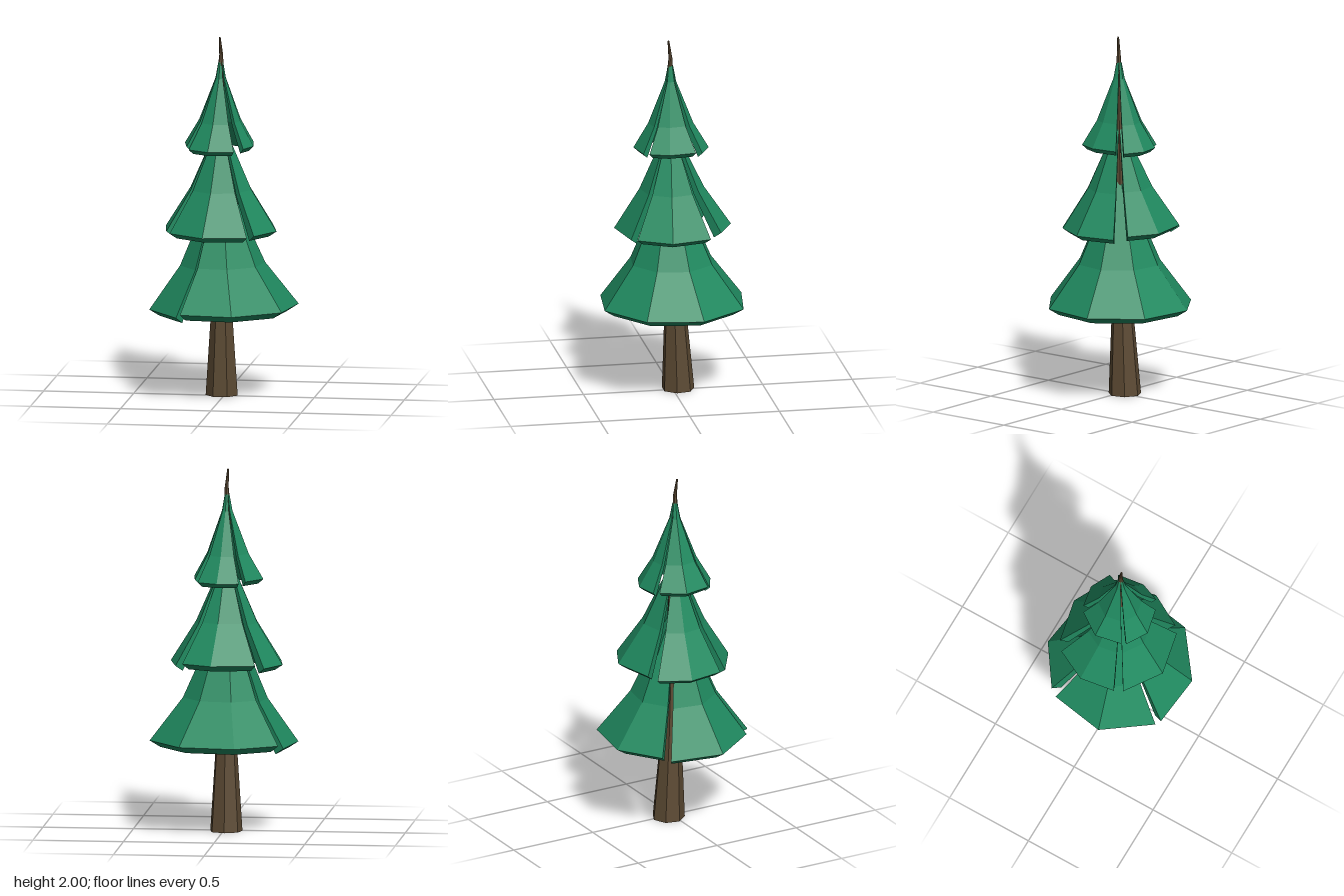
import * as THREE from 'three';

const AXIS = [-0.015, 0.012];
const green = new THREE.MeshStandardMaterial({ color: 0x208a60, flatShading: true });
const brown = new THREE.MeshStandardMaterial({ color: 0x5c4a33, flatShading: true });

// Each tier: profile of [share of rim radius, height] from tip to rim,
// then its boughs as rim corners [x, z], with a small height shift each.
const TIERS = [
  {
    name: 'lowerTier', drop: 0.037,
    profile: [[0.08, 1.2], [0.57, 0.74], [1, 0.505]],
    boughs: [
      { dy: 0, rim: [[-0.325, -0.245], [-0.1, -0.4], [0.21, -0.355], [0.4, -0.1], [0.35, 0.21], [0.1, 0.4], [-0.19, 0.37]] },
      { dy: -0.02, rim: [[-0.215, 0.35], [-0.4, 0.095], [-0.35, -0.205]] },
    ],
  },
  {
    name: 'middleTier', drop: 0.03,
    profile: [[0.08, 1.49], [0.55, 1.155], [1, 0.93]],
    boughs: [
      { dy: 0.02, rim: [[-0.2, -0.265], [0.04, -0.315], [0.205, -0.23]] },
      { dy: 0, rim: [[0.25, -0.165], [0.3, 0.055], [0.2, 0.235]] },
      { dy: -0.005, rim: [[0.165, 0.265], [-0.075, 0.315], [-0.275, 0.18]] },
      { dy: 0, rim: [[-0.3, 0.135], [-0.33, -0.06], [-0.245, -0.23]] },
    ],
  },
  {
    name: 'upperTier', drop: 0.025,
    profile: [[0.07, 1.86], [0.15, 1.77], [0.6, 1.53], [1, 1.39]],
    boughs: [
      { dy: 0, rim: [[-0.1, -0.175], [0.02, -0.195], [0.13, -0.14]] },
      { dy: 0.01, rim: [[0.15, -0.1], [0.17, 0.05], [0.13, 0.155]] },
      { dy: -0.003, rim: [[0.08, 0.18], [-0.06, 0.21], [-0.175, 0.14]] },
      { dy: 0.01, rim: [[-0.19, 0.12], [-0.22, -0.03], [-0.135, -0.155]] },
    ],
  },
];

// Thick bough: a closed profile swept along the rim corners, with end caps
function boughGeometry(rim, profile, drop, dy) {
  const last = profile.length - 1;
  const inner = profile.slice(0, last).reverse().map(([s, y]) => [s * 0.84, y - 0.02]);
  const loop = [...profile, [0.86, profile[last][1] - drop], ...inner];
  const n = loop.length;
  const pos = [], index = [];
  for (const [x, z] of rim) {
    for (const [s, y] of loop) {
      // the height shift fades out toward the tip
      pos.push(AXIS[0] + (x - AXIS[0]) * s, y + dy * s, AXIS[1] + (z - AXIS[1]) * s);
    }
  }
  const quad = (a, b, c, d) => index.push(a, b, c, a, c, d);
  for (let i = 0; i < rim.length - 1; i++) {
    for (let j = 0; j < n; j++) {
      const k = (j + 1) % n;
      quad(i * n + j, (i + 1) * n + j, (i + 1) * n + k, i * n + k);
    }
  }
  const end = (rim.length - 1) * n;
  for (let j = 0; j < last; j++) {
    const a = j, b = j + 1, c = n - 2 - j, d = n - 1 - j;
    quad(a, b, c, d);
    quad(end + d, end + c, end + b, end + a);
  }
  const g = new THREE.BufferGeometry();
  g.setAttribute('position', new THREE.Float32BufferAttribute(pos, 3));
  g.setIndex(index);
  const flat = g.toNonIndexed();
  flat.computeVertexNormals();
  return flat;
}

// Tapered, slightly bent trunk; rings are [y, centre x, centre z, radius]
function trunkGeometry() {
  const rings = [
    [0, -0.014, -0.03, 0.091],
    [0.5, -0.013, -0.013, 0.058],
    [1.4, -0.015, 0.008, 0.03],
    [1.84, -0.015, 0.014, 0.015],
    [1.9, -0.013, 0.012, 0.011],
    [2, -0.02, 0.022, 0.005],
  ];
  const steps = rings.length - 1;
  const g = new THREE.CylinderGeometry(1, 1, steps, 7, steps);
  g.rotateY(Math.PI / 7);
  const p = g.attributes.position;
  for (let i = 0; i < p.count; i++) {
    const [y, cx, cz, r] = rings[Math.round(p.getY(i) + steps / 2)];
    p.setXYZ(i, cx + p.getX(i) * r, y, cz + p.getZ(i) * r);
  }
  g.computeVertexNormals();
  return g;
}

export function createModel() {
  const tree = new THREE.Group();
  tree.name = 'pineTree';

  const trunk = new THREE.Mesh(trunkGeometry(), brown);
  trunk.name = 'trunk';
  tree.add(trunk);

  for (const { name, profile, drop, boughs } of TIERS) {
    const tier = new THREE.Group();
    tier.name = name;
    boughs.forEach(({ rim, dy }, i) => {
      const bough = new THREE.Mesh(boughGeometry(rim, profile, drop, dy), green);
      bough.name = `bough${i + 1}`;
      tier.add(bough);
    });
    tree.add(tier);
  }
  return tree;
}
